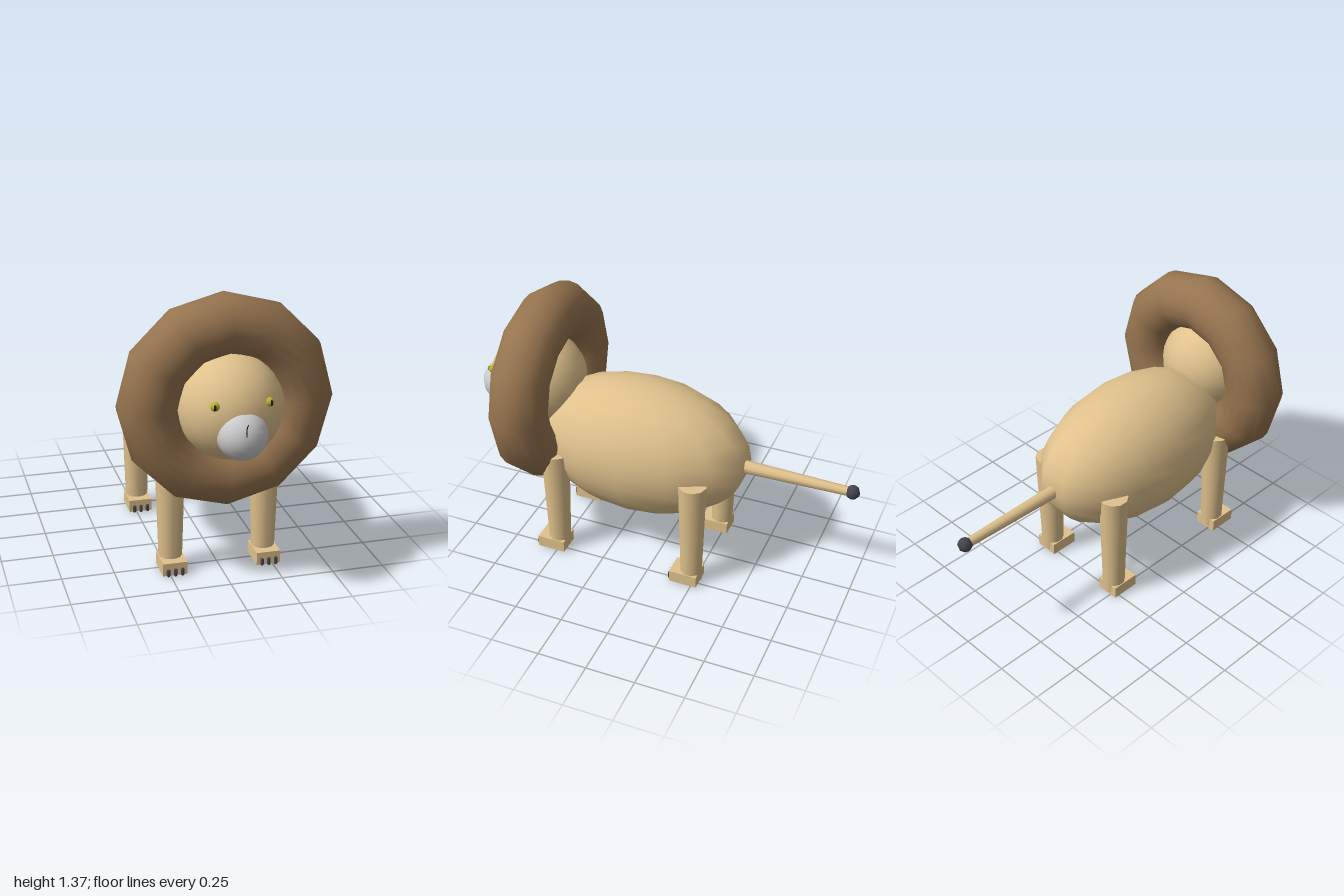
import * as THREE from 'three';

const mat = (color) => new THREE.MeshStandardMaterial({ color });

export function createModel() {
  const model = new THREE.Group();
  const fur = mat(0xdfc18c), maneBrown = mat(0x96744f), dark = mat(0x454550);
  const white = mat(0xdcdcdc), yellow = mat(0xb8b428), black = mat(0x181818);

  const add = (name, geometry, material, x, y, z, parent = model) => {
    const mesh = new THREE.Mesh(geometry, material);
    mesh.name = name;
    mesh.position.set(x, y, z);
    parent.add(mesh);
    return mesh;
  };

  // Barrel body: an ellipsoid with flat facets at the two ends
  add('body', new THREE.SphereGeometry(1, 14, 14), fur, 0, 0.605, 0.13).scale.set(0.327, 0.356, 0.572);

  // Head, mane and muzzle
  add('head', new THREE.SphereGeometry(0.244, 20, 16), fur, 0, 0.865, 0.69);
  add('mane', new THREE.TorusGeometry(0.358, 0.143, 18, 12), maneBrown, 0, 0.865, 0.625);
  add('muzzle', new THREE.SphereGeometry(0.115, 16, 14), white, 0, 0.798, 0.885);

  // Small nose line on the muzzle
  const nosePath = new THREE.CatmullRomCurve3([
    new THREE.Vector3(0.002, 0.872, 0.971),
    new THREE.Vector3(-0.009, 0.855, 0.982),
    new THREE.Vector3(-0.012, 0.825, 0.994),
  ]);
  add('nose', new THREE.TubeGeometry(nosePath, 6, 0.003, 5), black, 0, 0, 0);

  // Eyes with upright pupils
  for (const side of [-1, 1]) {
    const eye = new THREE.Group();
    eye.name = side > 0 ? 'leftEye' : 'rightEye';
    eye.position.set(side * 0.122, 0.935, 0.884);
    model.add(eye);
    add('eyeball', new THREE.SphereGeometry(0.021, 12, 10), yellow, 0, 0, 0, eye);
    add('pupil', new THREE.SphereGeometry(1, 8, 8), black, side * 0.004, 0, 0.016, eye).scale.set(0.007, 0.014, 0.007);
  }

  // Four legs, each with a box paw and three claws
  for (const [end, z] of [['front', 0.503], ['back', -0.232]]) {
    for (const side of [-1, 1]) {
      const leg = new THREE.Group();
      leg.name = end + (side > 0 ? 'LeftLeg' : 'RightLeg');
      leg.position.set(side * 0.229, 0, z);
      model.add(leg);
      add('shank', new THREE.CylinderGeometry(0.072, 0.055, 0.585, 10), fur, 0, 0.3075, 0, leg);
      add('paw', new THREE.BoxGeometry(0.117, 0.062, 0.145), fur, 0, 0.034, 0.026, leg);
      for (const x of [-0.034, 0, 0.034]) {
        add('claw', new THREE.CapsuleGeometry(0.009, 0.022, 3, 8), dark, x, 0.02, 0.105, leg);
      }
    }
  }

  // Straight tapering tail with a dark tuft
  add('tail', new THREE.CylinderGeometry(0.034, 0.023, 0.58, 10), fur, 0, 0.607, -0.67).rotation.x = Math.PI / 2;
  add('tailTuft', new THREE.SphereGeometry(0.036, 8, 6), dark, 0, 0.607, -0.965);

  return model;
}
